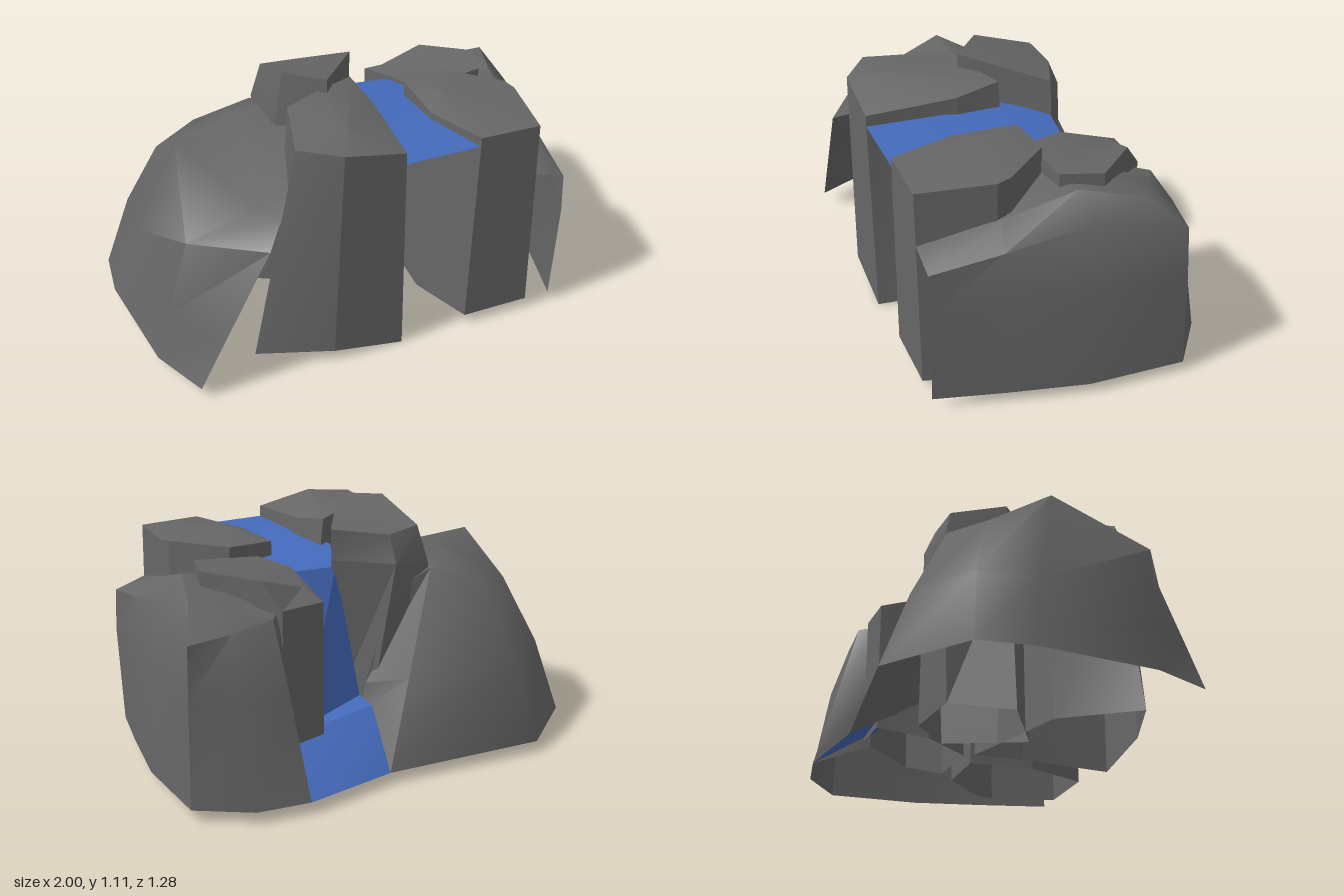
import * as THREE from 'three';
import { toCreasedNormals } from 'three/addons/utils/BufferGeometryUtils.js';

const rock = new THREE.MeshStandardMaterial({ color: 0x666666, side: THREE.DoubleSide });
rock.name = 'grey rock';
const water = new THREE.MeshStandardMaterial({ color: 0x456bbd, side: THREE.DoubleSide });
water.name = 'blue water';

// Skins a row of stations; each station is a list of [x, y, z] points from bottom to top
function loft(stations, closed, crease) {
  const pos = [], n = stations.length;
  const tri = (a, b, c) => {
    const same = (p, q) => p.every((v, k) => v === q[k]);
    if (!same(a, b) && !same(b, c) && !same(a, c)) pos.push(...a, ...b, ...c);
  };
  for (let i = 0; i < (closed ? n : n - 1); i++) {
    const s = stations[i], t = stations[(i + 1) % n];
    for (let j = 0; j < s.length - 1; j++) {
      tri(s[j], t[j], t[j + 1]);
      tri(s[j], t[j + 1], s[j + 1]);
    }
  }
  const geo = new THREE.BufferGeometry();
  geo.setAttribute('position', new THREE.Float32BufferAttribute(pos, 3));
  return toCreasedNormals(geo, crease);
}

// Rock column, open below; the top is a fan around its peak
function column(peak, stations) {
  return loft(stations.map(s => [...s, peak]), true, 0.35);
}

export function createModel() {
  const group = new THREE.Group();
  const add = (name, geo, mat) => {
    const mesh = new THREE.Mesh(geo, mat);
    mesh.name = name;
    group.add(mesh);
  };

  // Broad sloping hill on the right, open at the front and below
  add('rightHill', loft([
    [[0.08, 0.22, -0.25], [0.06, 0.35, -0.26], [-0.07, 0.75, -0.28], [-0.1, 0.8, -0.25], [-0.12, 0.83, -0.22]],
    [[0.13, 0.05, -0.56], [-0.05, 0.4, -0.435], [-0.27, 0.83, -0.28], [-0.25, 0.83, -0.25], [-0.2, 0.83, -0.22]],
    [[-0.62, 0.05, -0.64], [-0.58, 0.4, -0.51], [-0.52, 0.74, -0.34], [-0.4, 0.83, -0.2], [-0.2, 0.85, -0.18]],
    [[-0.97, 0.05, -0.38], [-0.86, 0.4, -0.33], [-0.73, 0.71, -0.23], [-0.5, 0.85, -0.08], [-0.18, 0.86, -0.08]],
    [[-1.0, 0.05, -0.15], [-0.88, 0.4, -0.08], [-0.72, 0.89, 0.05], [-0.42, 0.875, 0.05], [-0.06, 0.86, 0.1]],
    [[-0.95, 0.05, 0.38], [-0.9, 0.29, 0.41], [-0.81, 0.66, 0.45], [-0.5, 0.72, 0.42], [-0.2, 0.79, 0.35]],
    [[-0.84, 0.05, 0.64], [-0.72, 0.28, 0.64], [-0.52, 0.66, 0.64], [-0.43, 0.72, 0.53], [-0.36, 0.77, 0.45]],
  ], false, 1.1), rock);

  // Steep hill on the left, open at the front and below
  add('leftHill', loft([
    [[0.82, 0.05, 0.64], [0.84, 0.5, 0.64], [0.83, 0.68, 0.64], [0.69, 0.725, 0.64], [0.6, 0.72, 0.6]],
    [[0.9, 0.05, 0.34], [0.9, 0.5, 0.34], [0.87, 0.73, 0.34], [0.76, 0.81, 0.31], [0.5, 0.81, 0.3]],
    [[0.98, 0.05, 0.0], [0.96, 0.5, 0.0], [0.91, 0.8, -0.03], [0.8, 0.9, 0.0], [0.42, 0.84, 0.02]],
    [[1.0, 0.05, -0.42], [0.99, 0.5, -0.41], [0.98, 0.73, -0.4], [0.9, 0.86, -0.26], [0.55, 0.84, -0.15]],
    [[0.79, 0.05, -0.58], [0.8, 0.5, -0.5], [0.8, 0.75, -0.42], [0.77, 0.82, -0.33], [0.55, 0.82, -0.25]],
    [[0.56, 0.05, -0.62], [0.585, 0.45, -0.51], [0.61, 0.78, -0.42], [0.61, 0.78, -0.42], [0.55, 0.79, -0.3]],
    [[0.53, 0.15, -0.36], [0.54, 0.45, -0.36], [0.55, 0.78, -0.35], [0.55, 0.78, -0.35], [0.53, 0.79, -0.3]],
  ], false, 0.7), rock);

  // Four columns that frame the stream
  add('frontRightColumn', column([-0.12, 1.065, 0.49], [
    [[-0.56, 0.05, 0.52], [-0.36, 1.03, 0.52]],
    [[-0.24, 0.055, 0.64], [-0.2, 1.03, 0.64]],
    [[0.08, 0, 0.64], [0.07, 0.98, 0.64]],
    [[0.19, 0.05, 0.27], [0.1, 1.0, 0.25]],
    [[0.2, 0.05, 0.04], [0.08, 1.03, 0.05]],
    [[-0.12, 0.05, 0.14], [-0.12, 1.05, 0.15]],
    [[-0.34, 0.05, 0.2], [-0.27, 1.035, 0.2]],
  ]), rock);

  add('frontLeftColumn', column([0.42, 0.995, 0.26], [
    [[0.39, 0.05, 0.64], [0.41, 0.97, 0.64]],
    [[0.7, 0.05, 0.64], [0.685, 0.965, 0.64]],
    [[0.78, 0.05, 0.34], [0.745, 0.97, 0.32]],
    [[0.76, 0.05, 0.25], [0.73, 0.975, 0.26]],
    [[0.58, 0.05, 0.06], [0.55, 0.965, 0.05]],
    [[0.31, 0.05, 0.06], [0.335, 0.96, 0.07]],
    [[0.29, 0.05, 0.36], [0.32, 0.96, 0.36]],
  ]), rock);

  add('backRightColumn', column([-0.1, 1.07, -0.02], [
    [[-0.38, 0.05, 0.02], [-0.27, 0.86, 0.04], [-0.23, 1.11, 0.04]],
    [[-0.04, 0.05, 0.21], [-0.08, 0.95, 0.18], [-0.08, 1.11, 0.175]],
    [[0.19, 0.08, -0.12], [0.17, 0.9, -0.16], [0.17, 1.035, -0.155]],
    [[0.06, 0.1, -0.27], [-0.07, 0.88, -0.3], [-0.07, 1.0, -0.25]],
    [[-0.24, 0.1, -0.24], [-0.265, 0.85, -0.27], [-0.23, 1.02, -0.23]],
  ]), rock);

  add('backLeftColumn', column([0.56, 0.905, -0.12], [
    [[0.41, 0.12, 0.06], [0.41, 0.75, 0.06], [0.41, 0.905, 0.06]],
    [[0.7, 0.12, 0.05], [0.72, 0.8, 0.05], [0.72, 0.935, 0.05]],
    [[0.75, 0.15, -0.12], [0.78, 0.8, -0.12], [0.78, 0.935, -0.12]],
    [[0.55, 0.18, -0.39], [0.55, 0.795, -0.39], [0.6, 0.91, -0.31]],
    [[0.35, 0.18, -0.38], [0.35, 0.8, -0.38], [0.4, 0.85, -0.3]],
    [[0.32, 0.15, -0.14], [0.35, 0.75, -0.12], [0.35, 0.89, -0.12]],
  ]), rock);

  // Stream across the top, over the lip and down to the pool slope
  add('stream', loft([
    [[0.07, 0.93, 0.64], [0.41, 0.93, 0.64]],
    [[0.08, 0.93, 0.3], [0.35, 0.93, 0.36]],
    [[0.05, 0.915, 0.04], [0.42, 0.89, 0.06]],
    [[0.15, 0.87, -0.16], [0.37, 0.87, -0.13]],
    [[0.07, 0.285, -0.23], [0.36, 0.35, -0.29]],
    [[0.07, 0.27, -0.33], [0.55, 0.22, -0.35]],
    [[0.13, 0.05, -0.56], [0.56, 0.05, -0.62]],
  ], false, 0.35), water);

  return group;
}
